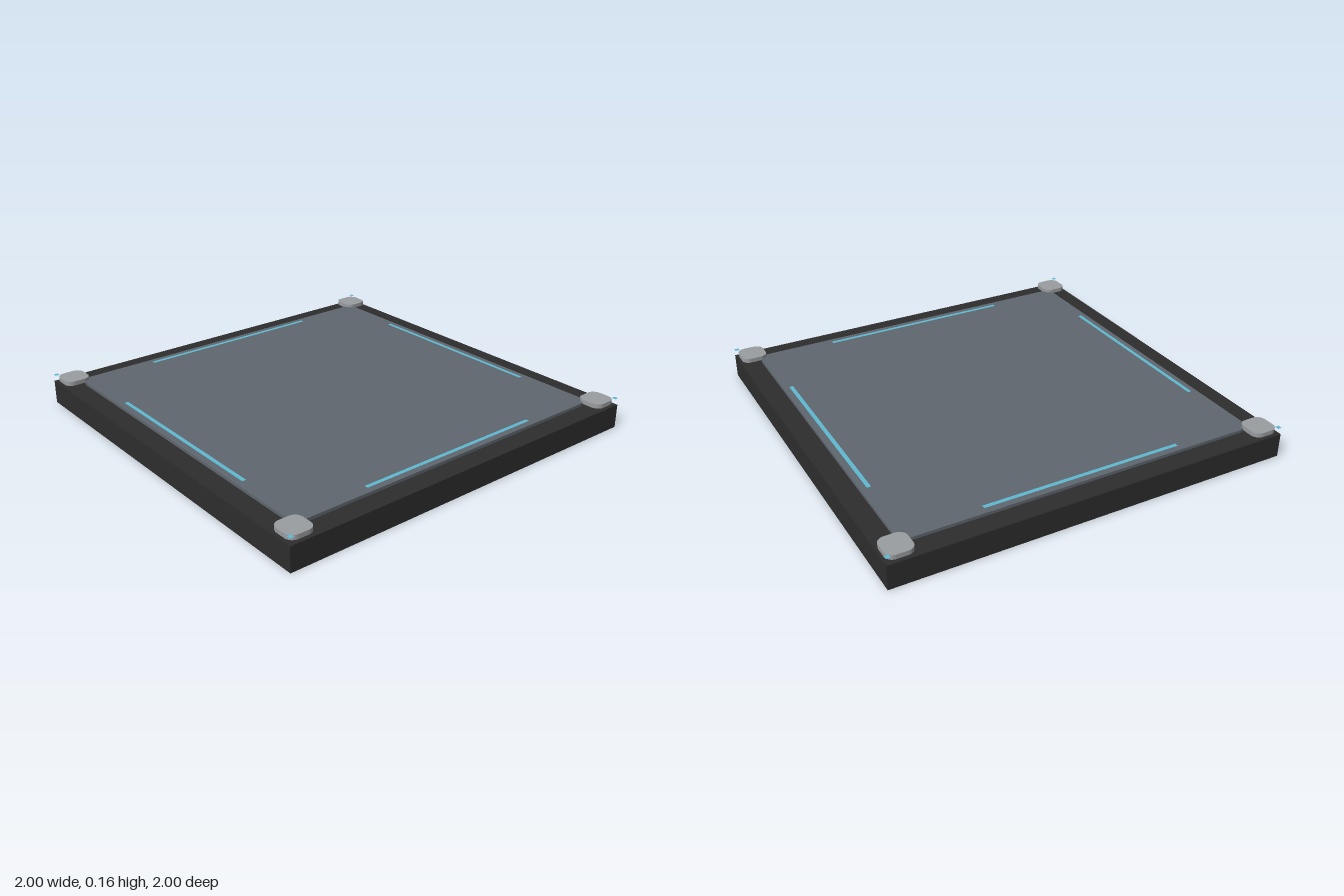
import * as THREE from 'three';

const mat = (name, color, extra = {}) => {
  const m = new THREE.MeshStandardMaterial({ color, ...extra });
  m.name = name;
  return m;
};

// Flat square slab with rounded corners, lying on its local y = 0
function roundedSlab(size, radius, height) {
  const h = size / 2, c = h - radius;
  const s = new THREE.Shape();
  s.absarc(c, c, radius, 0, Math.PI / 2);
  s.absarc(-c, c, radius, Math.PI / 2, Math.PI);
  s.absarc(-c, -c, radius, Math.PI, Math.PI * 1.5);
  s.absarc(c, -c, radius, Math.PI * 1.5, Math.PI * 2);
  s.closePath();
  const g = new THREE.ExtrudeGeometry(s, { depth: height, bevelEnabled: false, curveSegments: 8 });
  return g.rotateX(-Math.PI / 2);
}

export function createModel() {
  const model = new THREE.Group();
  model.name = 'floorTile';
  const black = mat('charcoal', 0x2d2d2d);
  const slate = mat('slate', 0x5f666e);
  const grey = mat('light grey', 0x9a9da0);
  const cyan = mat('cyan', 0x5fb8d0, { side: THREE.DoubleSide });

  const add = (name, geometry, material, x, y, z) => {
    const mesh = new THREE.Mesh(geometry, material);
    mesh.name = name;
    mesh.position.set(x, y, z);
    model.add(mesh);
    return mesh;
  };

  // Base block and raised top panel
  add('base', new THREE.BoxGeometry(2, 0.12, 2), black, 0, 0.06, 0);
  add('topPanel', roundedSlab(1.8, 0.06, 0.015), slate, 0, 0.12, 0);

  // Light strips along the four edges of the panel
  const strip = new THREE.PlaneGeometry(1, 0.02).rotateX(-Math.PI / 2);
  for (let i = 0; i < 4; i++) {
    const a = i * Math.PI / 2;
    add('lightStrip', strip, cyan, 0.86 * Math.sin(a), 0.137, 0.86 * Math.cos(a)).rotation.y = a;
  }

  // Corner pads, each with a small light plate at the outermost corner
  const pad = roundedSlab(0.13, 0.04, 0.022);
  const plate = new THREE.PlaneGeometry(0.022, 0.022).rotateX(-Math.PI / 2);
  for (const sx of [-1, 1]) {
    for (const sz of [-1, 1]) {
      add('cornerPad', pad, grey, sx * 0.925, 0.129, sz * 0.925);
      add('cornerLight', plate, cyan, sx * 0.989, 0.155, sz * 0.989);
    }
  }
  return model;
}
